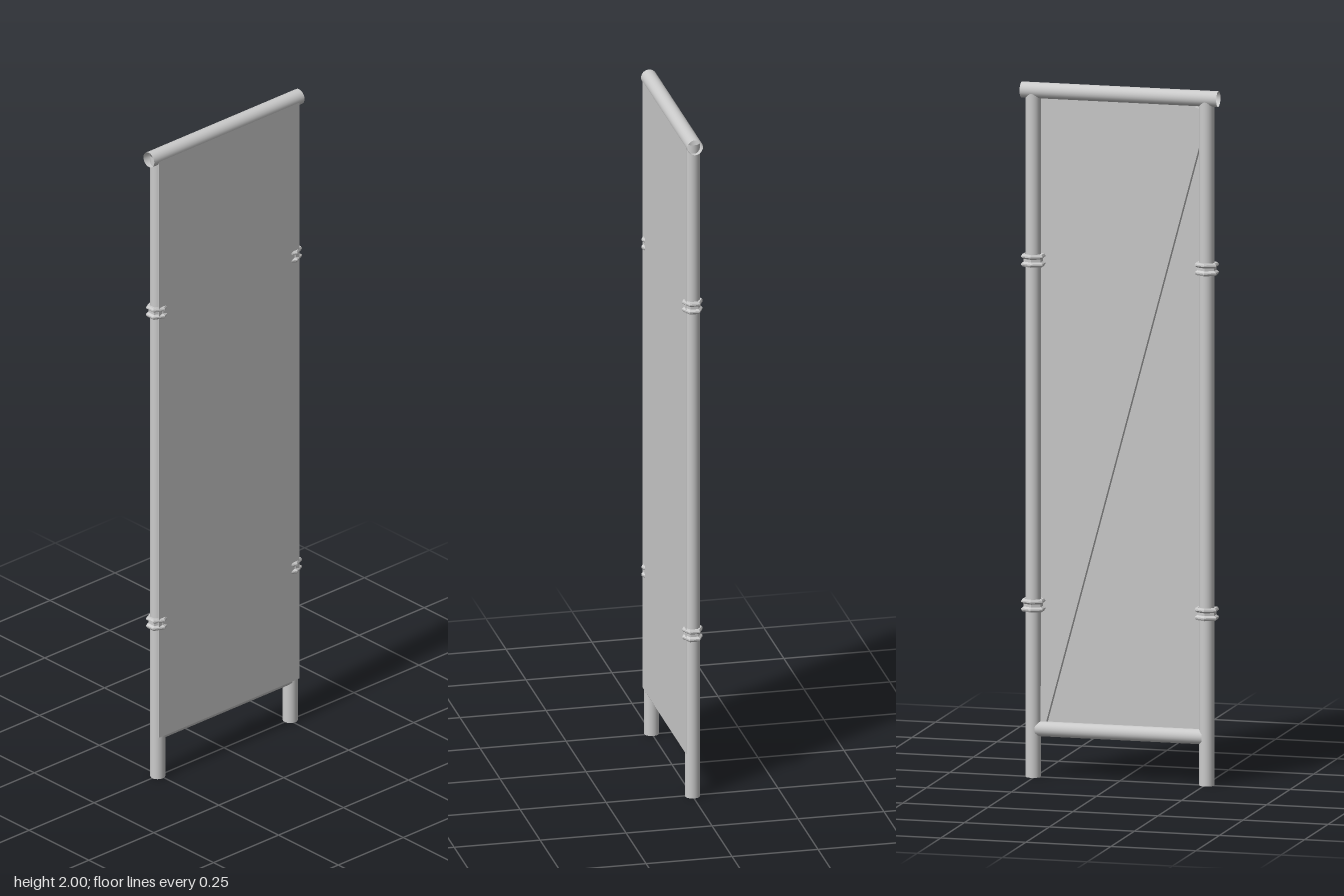
import * as THREE from 'three';

const smooth = new THREE.MeshStandardMaterial({ color: 0xcccccc, side: THREE.DoubleSide });
const flat = new THREE.MeshStandardMaterial({ color: 0xcccccc, flatShading: true, side: THREE.DoubleSide });

const POST_X = 0.255;
const RADIUS = 0.0215;
const RAIL_RADIUS = 0.0228;

export function createModel() {
  const model = new THREE.Group();
  model.name = 'framedPanel';

  const add = (name, geometry, material, x, y, z) => {
    const mesh = new THREE.Mesh(geometry, material);
    mesh.name = name;
    mesh.position.set(x, y, z);
    model.add(mesh);
    return mesh;
  };

  // Hollow, open-ended pipe
  const pipe = (radius, length) =>
    new THREE.CylinderGeometry(radius, radius, length, 24, 1, true);

  // Six-sided clamp: two flanges with a narrow waist
  const clampProfile = [
    [0.021, -0.018], [0.027, -0.018], [0.03, -0.013], [0.03, -0.009], [0.024, -0.004],
    [0.024, 0.004], [0.03, 0.009], [0.03, 0.013], [0.027, 0.018], [0.021, 0.018],
  ].map(([r, y]) => new THREE.Vector2(r, y));
  const clamp = new THREE.LatheGeometry(clampProfile, 6).scale(1.2, 1, 1);

  // Posts with their clamps
  for (const [side, s] of [['left', 1], ['right', -1]]) {
    add(side + 'Post', pipe(RADIUS, 1.98), smooth, s * POST_X, 0.99, 0);
    add(side + 'LowerClamp', clamp, flat, s * POST_X, 0.495, 0);
    add(side + 'UpperClamp', clamp, flat, s * POST_X, 1.488, 0);
  }

  // Cross rails
  add('topRail', pipe(RAIL_RADIUS, 0.578), smooth, 0, 2 - RAIL_RADIUS, 0).rotation.z = Math.PI / 2;
  add('bottomRail', pipe(RADIUS, 0.49), smooth, 0, 0.139, 0).rotation.z = Math.PI / 2;

  // Thin front sheet
  add('panel', new THREE.BoxGeometry(0.54, 1.845, 0.002), flat, 0, 1.0575, 0.0212);

  // Flat diagonal brace behind the sheet
  const dx = -0.48, dy = 1.79;
  add('diagonalBrace', new THREE.BoxGeometry(0.042, Math.hypot(dx, dy), 0.02), flat, 0, 1.05, 0.01)
    .rotation.z = Math.atan2(-dx, dy);

  return model;
}
